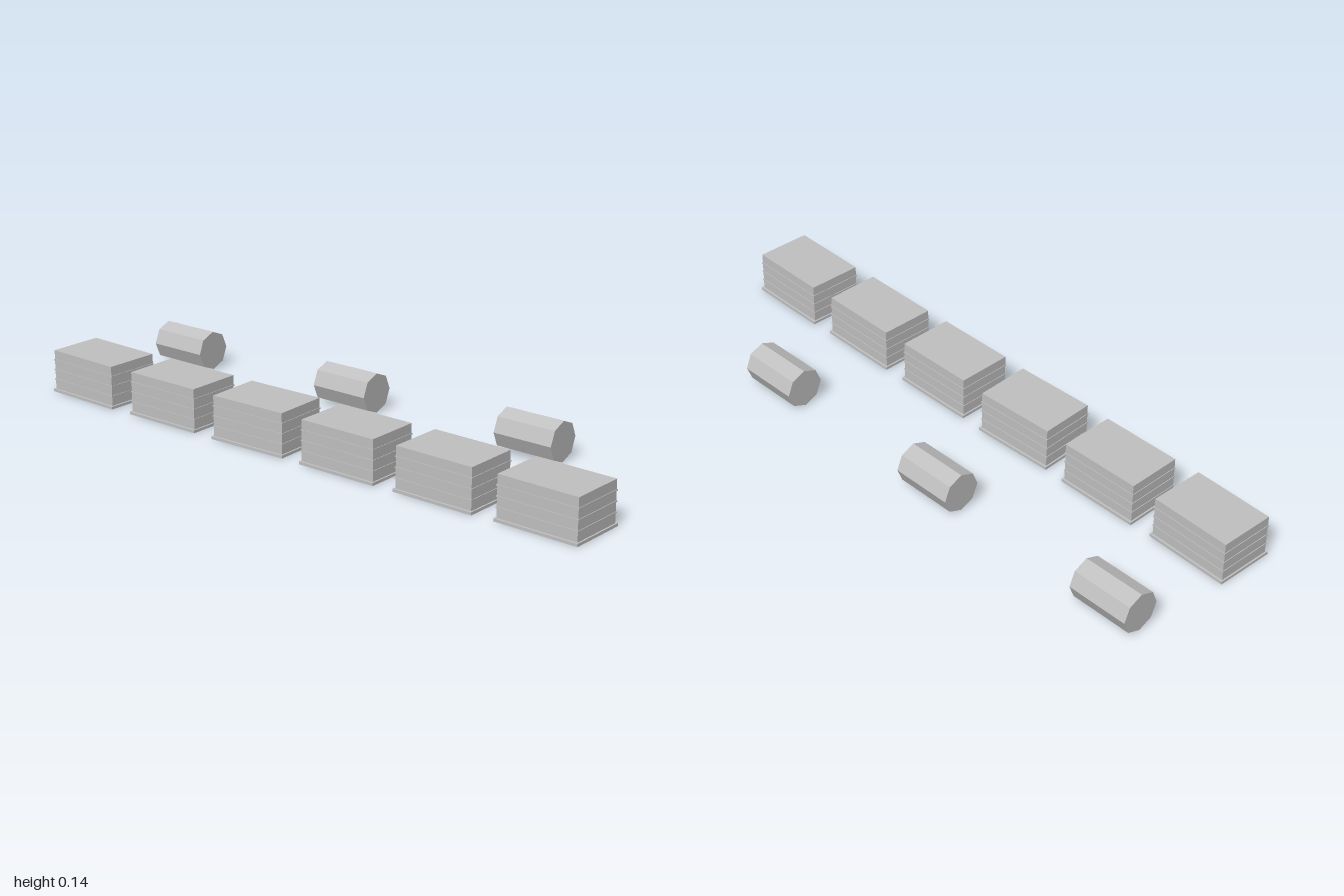
import * as THREE from 'three';

const grey = new THREE.MeshStandardMaterial({ color: 0xc0c0c0, flatShading: true });
grey.name = 'light grey';

function add(parent, name, geometry, x, y, z) {
  const mesh = new THREE.Mesh(geometry, grey);
  mesh.name = name;
  mesh.position.set(x, y, z);
  parent.add(mesh);
  return mesh;
}

export function createModel() {
  const model = new THREE.Group();
  model.name = 'cratesAndBarrels';
  const spacing = 0.343;
  const columnX = (i) => (i - 2.5) * spacing;

  // Row of banded crates, each on a thin base plate and turned slightly
  const plate = new THREE.BoxGeometry(0.272, 0.009, 0.19);
  const body = new THREE.BoxGeometry(0.262, 0.127, 0.176);
  const band = new THREE.BoxGeometry(0.266, 0.004, 0.18);
  const turns = [-0.03, 0, 0.03, 0, -0.012, -0.02];
  turns.forEach((turn, i) => {
    const crate = new THREE.Group();
    crate.name = `crate${i + 1}`;
    crate.position.set(columnX(i), 0, 0.18);
    crate.rotation.y = turn;
    add(crate, 'basePlate', plate, 0, 0.0045, 0);
    add(crate, 'crateBody', body, 0, 0.0725, 0);
    for (const y of [0.04, 0.072, 0.104]) add(crate, 'band', band, 0, y, 0);
    model.add(crate);
  });

  // Eight-sided barrels lying behind every second crate
  const barrel = new THREE.CylinderGeometry(0.0635, 0.0635, 0.2, 8).rotateZ(Math.PI / 2);
  for (const i of [0, 2, 4]) add(model, 'barrel', barrel, columnX(i), 0.0645, -0.2165);

  return model;
}
